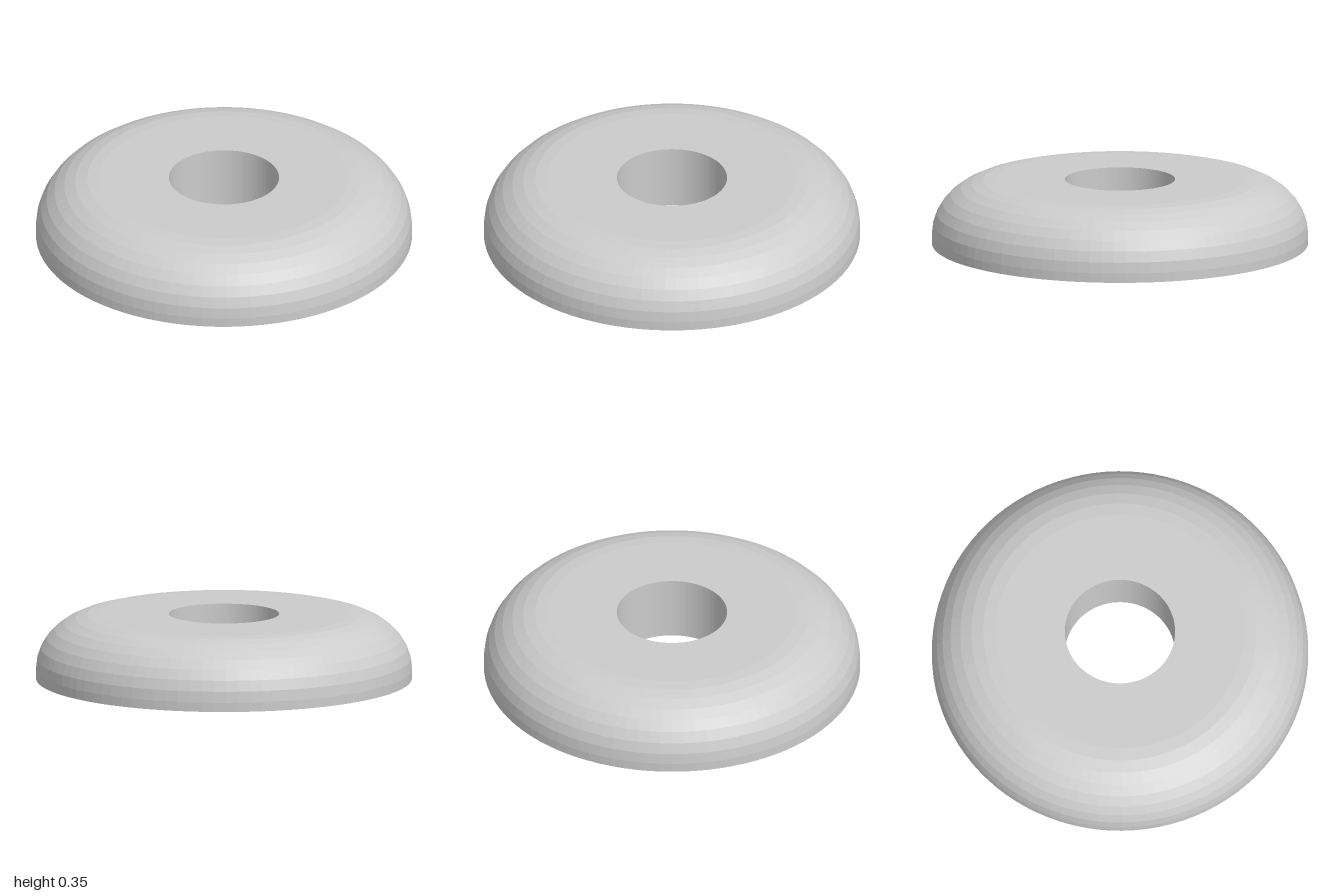
import * as THREE from 'three';

const SEGMENTS = 96;
const BORE = 0.293, CORE = 0.89, HEIGHT = 0.348;
const GROOVE_OUTER = 0.935, GROOVE_DEPTH = 0.18;
const PIN_RADIUS = 0.08, PIN_OFFSET = 0.733, PIN_DEPTH = 0.18;

export function createModel() {
  const group = new THREE.Group();
  const material = new THREE.MeshStandardMaterial({ color: 0xcccccc, flatShading: true });
  const add = (name, geometry) => {
    const mesh = new THREE.Mesh(geometry, material);
    mesh.name = name;
    group.add(mesh);
    return mesh;
  };
  const lathe = (points, segments) =>
    new THREE.LatheGeometry(points.map(([r, y]) => new THREE.Vector2(r, y)), segments);

  // Ring body: core wall, groove, rim, rounded shoulder, flat top and bore
  const profile = [[CORE, 0], [CORE, GROOVE_DEPTH], [GROOVE_OUTER, GROOVE_DEPTH], [GROOVE_OUTER, 0], [1, 0]];
  const shoulder = { r: 0.66, y: 0.05 };
  for (let i = 0; i <= 8; i++) {
    const a = (i / 8) * Math.PI / 2;
    profile.push([
      shoulder.r + (1 - shoulder.r) * Math.cos(a),
      shoulder.y + (HEIGHT - shoulder.y) * Math.sin(a),
    ]);
  }
  profile.push([BORE, HEIGHT], [BORE, 0]);
  add('ringBody', lathe(profile, SEGMENTS));

  // Underside face with the bore and two pin holes cut out
  const face = new THREE.Shape().absarc(0, 0, CORE, 0, Math.PI * 2);
  const cut = (x, r) => face.holes.push(new THREE.Path().absarc(x, 0, r, 0, Math.PI * 2, true));
  cut(0, BORE);
  for (const side of [-1, 1]) cut(side * PIN_OFFSET, PIN_RADIUS);
  add('undersideFace', new THREE.ShapeGeometry(face, SEGMENTS / 2).rotateX(Math.PI / 2));

  // Blind pin holes
  for (const side of [-1, 1]) {
    const pocket = add(side > 0 ? 'leftPinHole' : 'rightPinHole',
      lathe([[0, PIN_DEPTH], [PIN_RADIUS, PIN_DEPTH], [PIN_RADIUS, 0]], 48));
    pocket.position.x = side * PIN_OFFSET;
  }

  return group;
}
